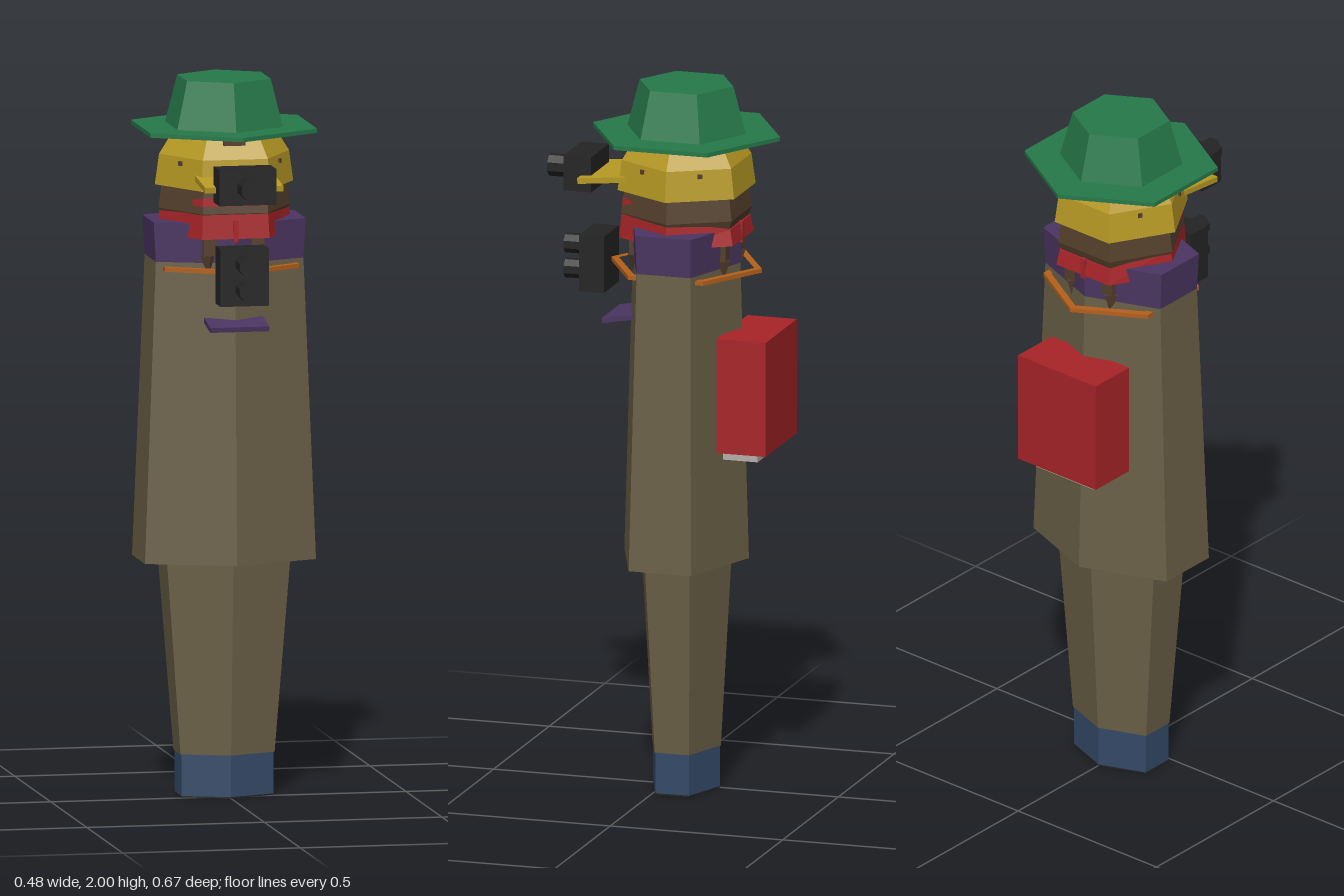
import * as THREE from 'three';

const CZ = -0.06; // depth of the body axis
const mat = (name, color) => Object.assign(new THREE.MeshStandardMaterial({ color }), { name });

export function createModel() {
  const model = new THREE.Group();
  const green = mat('hat green', 0x26794a), gold = mat('hood gold', 0xb89a24),
    red = mat('scarf red', 0xa82428), purple = mat('collar purple', 0x4b3562),
    orange = mat('strap orange', 0xb4601c), black = mat('device black', 0x242424),
    brown = mat('dark brown', 0x55402c), coat = mat('coat khaki', 0x6a6046),
    blue = mat('boot blue', 0x344a68), grey = mat('pale grey', 0xb8aea8);

  // Adds a faceted mesh
  function add(name, geometry, material, x = 0, y = 0, z = 0) {
    const g = geometry.index ? geometry.toNonIndexed() : geometry;
    g.computeVertexNormals();
    const mesh = new THREE.Mesh(g, material);
    mesh.name = name;
    mesh.position.set(x, y, z);
    model.add(mesh);
    return mesh;
  }
  const box = (name, w, h, d, m, x, y, z) => add(name, new THREE.BoxGeometry(w, h, d), m, x, y, z);

  // Six-sided section between two heights, corner or flat side to the front
  function hex(name, y0, y1, r0, r1, m, { depth = 1, flat = false } = {}) {
    const g = new THREE.CylinderGeometry(r1, r0, y1 - y0, 6);
    if (flat) g.rotateY(Math.PI / 6);
    g.scale(1, 1, depth);
    return add(name, g, m, 0, (y0 + y1) / 2, CZ);
  }

  // Boots, legs, coat and collar
  const oval = { depth: 0.65 };
  hex('soles', 0, 0.004, 0.15, 0.15, black, oval);
  hex('boots', 0.004, 0.12, 0.15, 0.15, blue, oval);
  hex('legs', 0.12, 0.68, 0.153, 0.202, coat, oval);
  hex('coat', 0.66, 1.5, 0.278, 0.24, coat, oval);
  hex('collar', 1.5, 1.61, 0.24, 0.247, purple, oval);

  // Face and hood
  const flat = { flat: true };
  hex('jaw', 1.6, 1.64, 0.17, 0.185, brown, flat);
  hex('face', 1.64, 1.71, 0.185, 0.175, brown, flat);
  hex('hood', 1.705, 1.79, 0.195, 0.183, gold, flat);
  hex('hoodTop', 1.79, 1.858, 0.183, 0.14, gold, flat);
  box('forelock', 0.06, 0.025, 0.03, brown, 0, 1.84, 0.075);
  for (const s of [-1, 1]) {
    for (const f of [-1, 1]) {
      const stud = box('hoodStud', 0.012, 0.012, 0.006, brown, s * 0.14, 1.773, CZ + f * 0.084);
      stud.rotation.y = Math.atan2(s * 0.866, f * 0.5);
    }
  }

  // Scarf, higher at the front
  const scarf = new THREE.CylinderGeometry(0.18, 0.19, 0.08, 6);
  scarf.rotateY(Math.PI / 6);
  const p = scarf.attributes.position;
  for (let i = 0; i < p.count; i++) {
    if (p.getY(i) > 0) p.setY(i, 0.04 + p.getZ(i) * 0.22);
  }
  add('scarf', scarf, red, 0, 1.61, CZ);

  // Hat
  hex('hatBrim', 1.855, 1.867, 0.271, 0.271, green);
  hex('hatCrown', 1.866, 2, 0.172, 0.136, green);

  // Bill and the viewer mounted on it
  box('bill', 0.22, 0.016, 0.17, gold, 0, 1.733, 0.137).rotation.x = 0.1;
  box('viewerBody', 0.16, 0.1, 0.08, black, 0, 1.737, 0.231);
  const lens = (name, r, y, z) => {
    const g = new THREE.CylinderGeometry(r, r, 0.064, 8);
    g.rotateZ(0).rotateX(Math.PI / 2).rotateZ(Math.PI / 8);
    add(name, g, black, 0, y, z);
  };
  lens('viewerLens', 0.032, 1.737, 0.303);

  // Chest device with two lenses
  box('chestDevice', 0.136, 0.16, 0.072, black, 0, 1.48, 0.194);
  lens('upperLens', 0.028, 1.518, 0.257);
  lens('lowerLens', 0.028, 1.447, 0.257);

  // Strap as a six-sided ring
  const ringPoints = (r) => Array.from({ length: 6 }, (_, i) =>
    new THREE.Vector2(r * Math.sin(i * Math.PI / 3), r * Math.cos(i * Math.PI / 3)));
  const ring = new THREE.Shape(ringPoints(0.218));
  ring.holes.push(new THREE.Path(ringPoints(0.196)));
  const strap = new THREE.ExtrudeGeometry(ring, { depth: 0.012, bevelEnabled: false });
  strap.rotateX(-Math.PI / 2);
  add('strap', strap, orange, 0, 1.476, CZ);

  // Chest flap
  box('chestFlap', 0.166, 0.014, 0.09, purple, 0, 1.333, 0.115).rotation.x = 0.18;

  // Hair tufts and scarf cords over the collar
  for (const f of [-1, 1]) {
    for (const s of [-1, 1]) {
      const z = CZ + f * 0.125;
      box('hairTuft', 0.036, 0.09, 0.03, brown, s * 0.068, 1.565, z);
      const tip = new THREE.ConeGeometry(0.024, 0.07, 4);
      tip.rotateX(Math.PI);
      add('hairTip', tip, brown, s * 0.068, 1.486, z);
    }
    box('scarfCord', 0.014, 0.06, 0.014, red, 0, 1.59, CZ + f * 0.158);
  }

  // Backpack and its bedroll underneath
  box('backpack', 0.28, 0.325, 0.143, red, 0, 1.152, -0.263);
  box('packBase', 0.21, 0.03, 0.1, grey, 0, 0.978, -0.25);

  return model;
}
